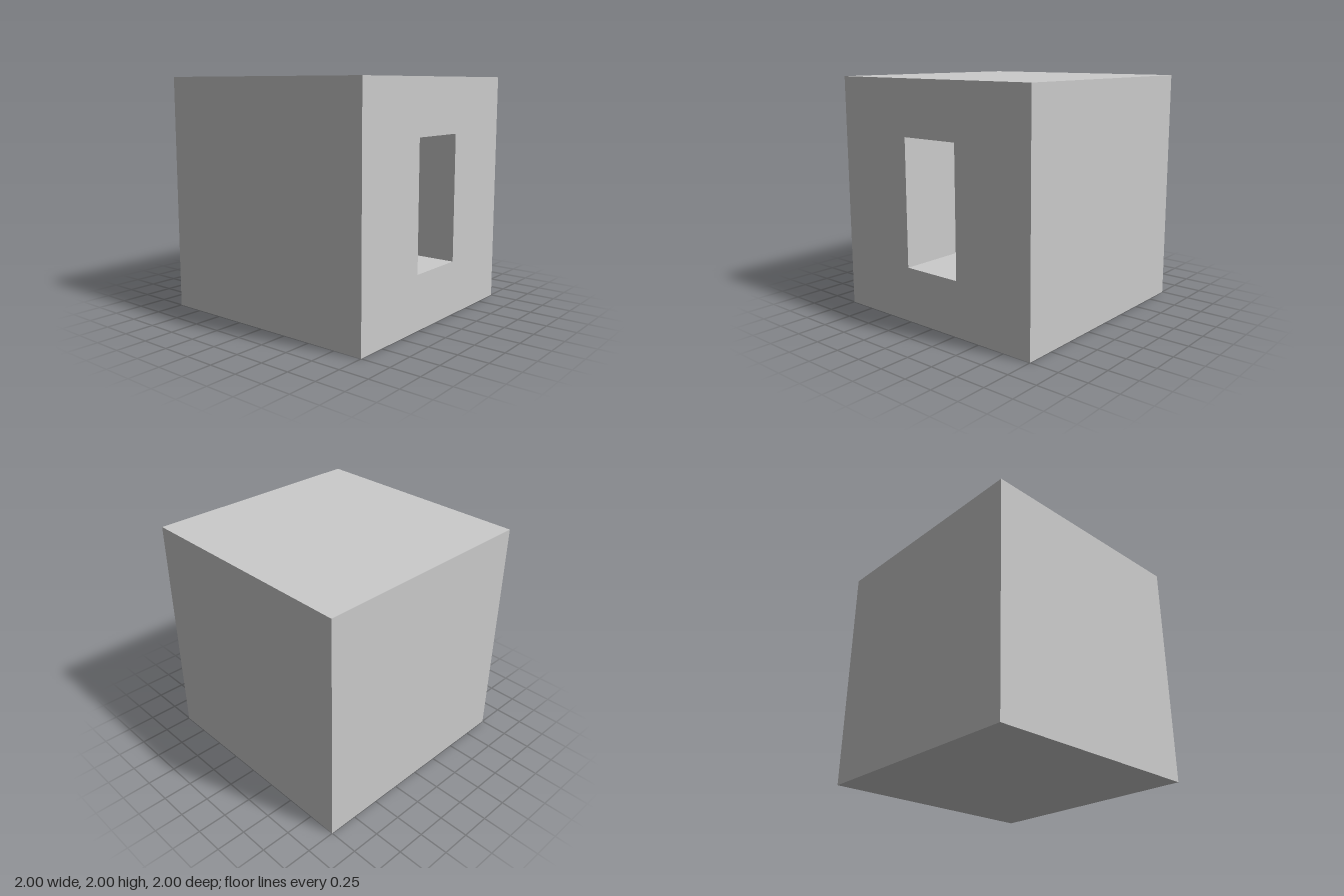
import * as THREE from 'three';

const CENTRE_Y = 1;

// Lofts rectangles [halfWidth, halfHeight, z]; optional caps close the first or last one.
function loftRects(sections, { capStart = false, capEnd = false } = {}) {
  const corners = [[-1, -1], [1, -1], [1, 1], [-1, 1]];
  const positions = [];
  const indices = [];
  for (const [w, h, z] of sections) {
    for (const [sx, sy] of corners) positions.push(sx * w, CENTRE_Y + sy * h, z);
  }
  for (let k = 0; k < sections.length - 1; k++) {
    for (let i = 0; i < 4; i++) {
      const a = k * 4 + i;
      const b = k * 4 + (i + 1) % 4;
      indices.push(a, b, b + 4, a, b + 4, a + 4);
    }
  }
  if (capStart) indices.push(0, 2, 1, 0, 3, 2);
  if (capEnd) {
    const e = (sections.length - 1) * 4;
    indices.push(e, e + 1, e + 2, e, e + 2, e + 3);
  }
  const indexed = new THREE.BufferGeometry();
  indexed.setAttribute('position', new THREE.Float32BufferAttribute(positions, 3));
  indexed.setIndex(indices);
  const geometry = indexed.toNonIndexed();
  geometry.computeVertexNormals();
  return geometry;
}

export function createModel() {
  const model = new THREE.Group();
  model.name = 'cubeWithRecess';
  const material = new THREE.MeshStandardMaterial({ color: 0xcccccc, flatShading: true });

  const add = (name, geometry) => {
    const mesh = new THREE.Mesh(geometry, material);
    mesh.name = name;
    model.add(mesh);
  };

  const opening = [0.272, 0.538];
  const inner = [0.219, 0.432];

  // Cube: closed back, four sides, and a front face around the opening
  add('cubeBody', loftRects([[1, 1, -1], [1, 1, 1], [...opening, 1]], { capStart: true }));

  // Outer recess running straight back from the front face
  add('outerRecess', loftRects([[...opening, 1], [...opening, 0.36]]));

  // Bevelled lip that leans forward around the smaller opening
  add('bevelledLip', loftRects([[...opening, 0.36], [...inner, 0.415]]));

  // Inner recess, closed at its back
  add('innerRecess', loftRects([[...inner, 0.415], [...inner, -0.22]], { capEnd: true }));

  return model;
}
